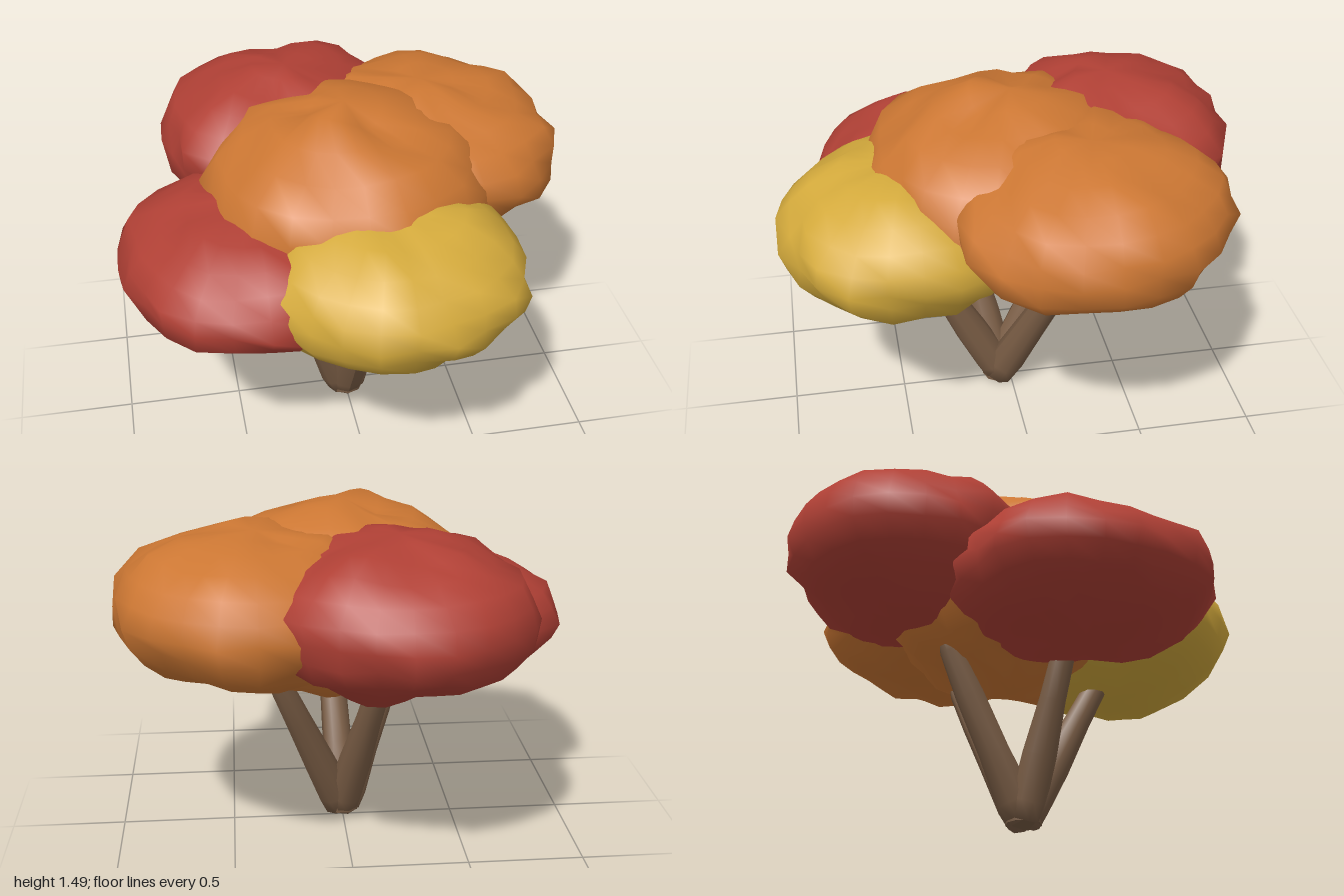
import * as THREE from 'three';
import { mergeVertices } from 'three/addons/utils/BufferGeometryUtils.js';

const mat = (color) => new THREE.MeshStandardMaterial({ color, roughness: 1 });

// Lumpy foliage clump: plan radii every 30 degrees from +x towards +z, between heights y0 and y1
function clump(name, material, [cx, cz], [y0, y1], radii, seed) {
  let geo = new THREE.SphereGeometry(1, 24, 12);
  geo.deleteAttribute('uv');
  geo.deleteAttribute('normal');
  geo = mergeVertices(geo, 1e-4);
  const pos = geo.attributes.position;
  const v = new THREE.Vector3();
  for (let i = 0; i < pos.count; i++) {
    v.fromBufferAttribute(pos, i);
    const turn = ((Math.atan2(v.z, v.x) / (2 * Math.PI) + 1) % 1) * 12;
    const k = Math.floor(turn) % 12;
    const plan = THREE.MathUtils.lerp(radii[k], radii[(k + 1) % 12], turn - Math.floor(turn));
    const lump = Math.sin(6 * v.x + 3 * v.y + seed) * Math.cos(6.5 * v.z - 3 * v.y + seed * 2);
    const ripple = Math.sin(10 * v.x - 6 * v.z + seed * 3) * Math.cos(7 * v.y + 8 * v.z + seed);
    const rise = 1 + 0.07 * lump + 0.05 * ripple;
    const spread = plan * (1 + 0.035 * lump + 0.04 * ripple);
    pos.setXYZ(i, v.x * spread, v.y * rise, v.z * spread);
  }
  geo.computeBoundingBox();
  const bottom = geo.boundingBox.min.y;
  const scale = (y1 - y0) / (geo.boundingBox.max.y - bottom);
  geo.scale(1, scale, 1);
  geo.translate(cx, y0 - bottom * scale, cz);
  geo.computeVertexNormals();
  const mesh = new THREE.Mesh(geo, material);
  mesh.name = name;
  return mesh;
}

// Tapered, slightly uneven limb with a rounded tip, rising from the shared base
function limb(name, material, base, tip, seed) {
  const a = new THREE.Vector3(...base);
  const b = new THREE.Vector3(...tip);
  const length = a.distanceTo(b);
  const profile = [[0, 0], [0.074, 0], [0.08, 0.1], [0.071, 0.35], [0.06, 0.65], [0.05, 0.88], [0.028, 0.98], [0, 1]]
    .map(([r, t]) => new THREE.Vector2(r, t * length));
  const geo = new THREE.LatheGeometry(profile, 9);
  const pos = geo.attributes.position;
  for (let i = 0; i < pos.count; i++) {
    const k = 1 + 0.05 * Math.sin(pos.getY(i) * 14 + seed);
    pos.setX(i, pos.getX(i) * k);
    pos.setZ(i, pos.getZ(i) / k);
  }
  geo.computeVertexNormals();
  const mesh = new THREE.Mesh(geo, material);
  mesh.name = name;
  mesh.position.copy(a);
  mesh.quaternion.setFromUnitVectors(new THREE.Vector3(0, 1, 0), b.sub(a).normalize());
  return mesh;
}

export function createModel() {
  const tree = new THREE.Group();
  tree.name = 'autumnTree';
  const orange = mat(0xcc7733), red = mat(0xb04035), yellow = mat(0xd4aa3c), bark = mat(0x7a5d45);

  // Foliage
  const foliage = new THREE.Group();
  foliage.name = 'foliage';
  foliage.add(
    clump('centreFoliage', orange, [0, 0], [0.6, 1.48],
      [0.6, 0.63, 0.65, 0.63, 0.65, 0.65, 0.6, 0.6, 0.58, 0.58, 0.6, 0.6], 0.4),
    clump('rightFoliage', orange, [0.38, -0.26], [0.78, 1.43],
      [0.6, 0.62, 0.6, 0.56, 0.55, 0.55, 0.57, 0.57, 0.57, 0.59, 0.57, 0.58], 1.9),
    clump('backFoliage', red, [-0.18, -0.45], [0.79, 1.44],
      [0.57, 0.55, 0.53, 0.52, 0.5, 0.55, 0.55, 0.57, 0.56, 0.55, 0.55, 0.59], 3.1),
    clump('leftFoliage', red, [-0.42, 0.22], [0.63, 1.21],
      [0.55, 0.55, 0.56, 0.56, 0.6, 0.56, 0.54, 0.6, 0.56, 0.55, 0.55, 0.54], 4.6),
    clump('frontFoliage', yellow, [0.1, 0.44], [0.61, 1.26],
      [0.54, 0.59, 0.57, 0.56, 0.56, 0.56, 0.54, 0.54, 0.54, 0.5, 0.52, 0.54], 5.5)
  );

  // Four limbs splaying from one foot
  const trunk = new THREE.Group();
  trunk.name = 'trunk';
  trunk.add(
    limb('frontLimb', bark, [0, 0.02, 0.05], [0.03, 0.74, 0.42], 0),
    limb('leftLimb', bark, [-0.01, 0.02, 0.05], [-0.28, 0.76, 0.2], 1),
    limb('rightLimb', bark, [0.01, 0.02, 0.05], [0.32, 0.8, -0.23], 2),
    limb('backLimb', bark, [0, 0.02, 0.05], [-0.15, 0.82, -0.33], 3)
  );
  const foot = new THREE.Mesh(new THREE.CylinderGeometry(0.09, 0.078, 0.09, 9), bark);
  foot.name = 'trunkFoot';
  foot.position.set(0, 0.045, 0.05);
  trunk.add(foot);

  tree.add(foliage, trunk);
  return tree;
}
